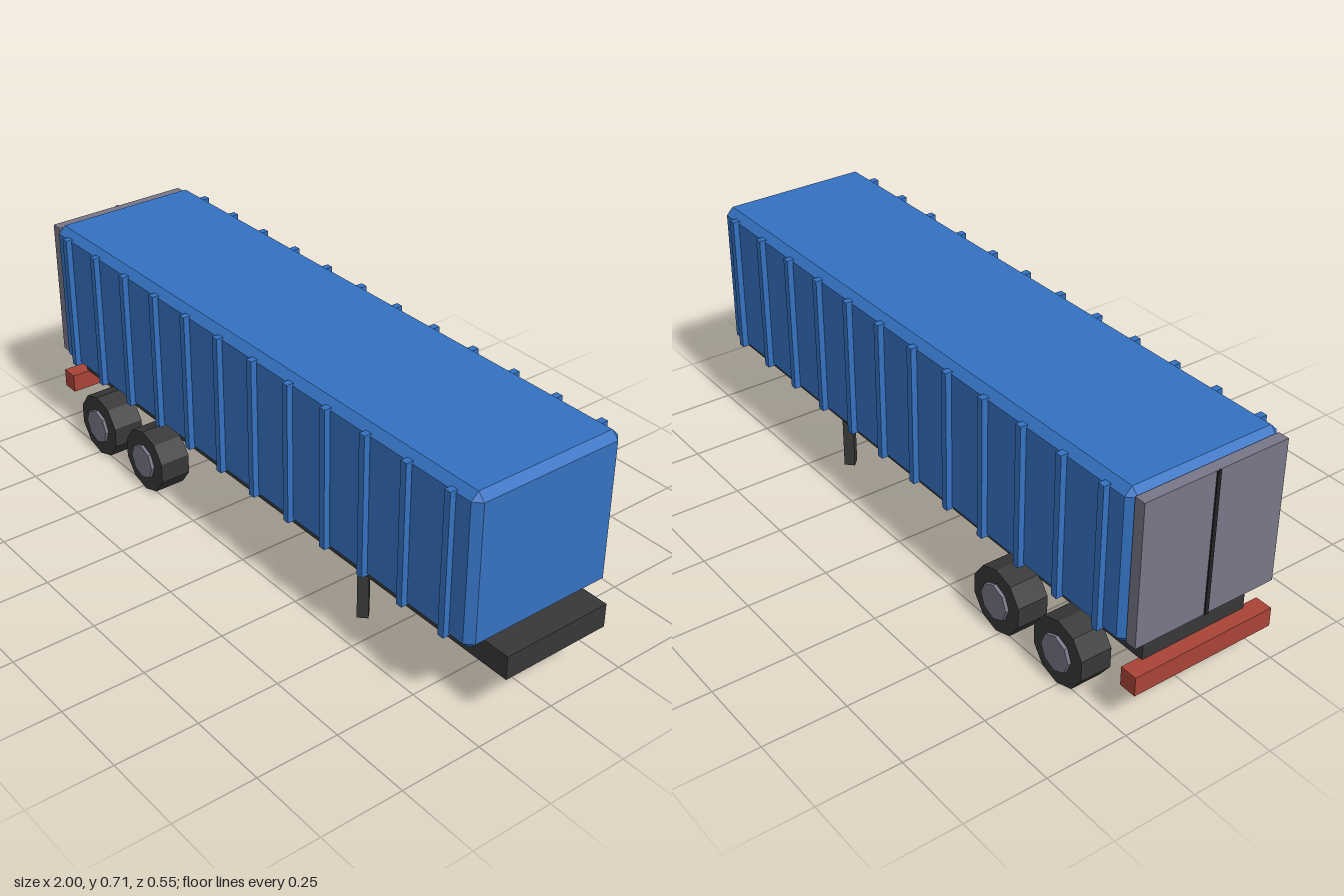
import * as THREE from 'three';
import { ConvexGeometry } from 'three/addons/geometries/ConvexGeometry.js';

const flat = (name, color) => {
  const m = new THREE.MeshStandardMaterial({ color, flatShading: true });
  m.name = name;
  return m;
};

// Box with every edge cut at 45 degrees
function chamferedBox(w, h, d, c) {
  const points = [];
  for (const sx of [-1, 1]) for (const sy of [-1, 1]) for (const sz of [-1, 1])
    for (let axis = 0; axis < 3; axis++) {
      const p = [w / 2 - c, h / 2 - c, d / 2 - c];
      p[axis] += c;
      points.push(new THREE.Vector3(sx * p[0], sy * p[1], sz * p[2]));
    }
  return new ConvexGeometry(points);
}

export function createModel() {
  const blue = flat('blue paint', 0x3572c2);
  const dark = flat('dark steel', 0x383838);
  const grey = flat('grey metal', 0x777788);
  const red = flat('red bumper paint', 0xaa4438);
  const black = flat('seam black', 0x222222);

  const model = new THREE.Group();
  model.name = 'semiTrailer';
  const add = (name, geometry, material, x, y, z, parent = model) => {
    const mesh = new THREE.Mesh(geometry, material);
    mesh.name = name;
    mesh.position.set(x, y, z);
    parent.add(mesh);
    return mesh;
  };
  const box = (w, h, d) => new THREE.BoxGeometry(w, h, d);

  // Cargo body and chassis
  add('cargoBody', chamferedBox(1.895, 0.46, 0.488, 0.022), blue, -0.011, 0.476, 0);
  add('chassis', box(1.957, 0.072, 0.344), dark, 0.0215, 0.21, 0);

  // Side ribs
  const ribs = new THREE.Group();
  ribs.name = 'sideRibs';
  model.add(ribs);
  const ribGeometry = box(0.021, 0.43, 0.022);
  for (const side of [-1, 1])
    for (let i = 0; i < 12; i++)
      add('rib', ribGeometry, blue, -0.874 + i * 0.157, 0.476, side * 0.251, ribs);

  // Rear doors, the seam between them and the bumper
  for (const side of [-1, 1])
    add('rearDoor', box(0.034, 0.43, 0.23), grey, -0.974, 0.476, side * 0.115);
  add('doorSeam', box(0.008, 0.43, 0.012), black, -0.991, 0.476, 0);
  add('rearBumper', box(0.054, 0.058, 0.46), red, -0.973, 0.147, 0);

  // Wheels, with a hub on the outer face only
  const tyreGeometry = new THREE.CylinderGeometry(0.101, 0.101, 0.097, 10).rotateX(Math.PI / 2);
  const hubGeometry = new THREE.CylinderGeometry(0.055, 0.055, 0.02, 8).rotateX(Math.PI / 2);
  for (const side of [-1, 1])
    for (const x of [-0.743, -0.484]) {
      const wheel = new THREE.Group();
      wheel.name = 'wheel';
      wheel.position.set(x, 0.101, side * 0.2165);
      model.add(wheel);
      add('tyre', tyreGeometry, dark, 0, 0, 0, wheel);
      add('hub', hubGeometry, grey, 0, 0, side * 0.0485, wheel);
    }

  // Landing legs
  const legGeometry = new THREE.CylinderGeometry(0.023, 0.023, 0.172, 4);
  for (const side of [-1, 1])
    add('landingLeg', legGeometry, dark, 0.419, 0.094, side * 0.145);

  return model;
}
